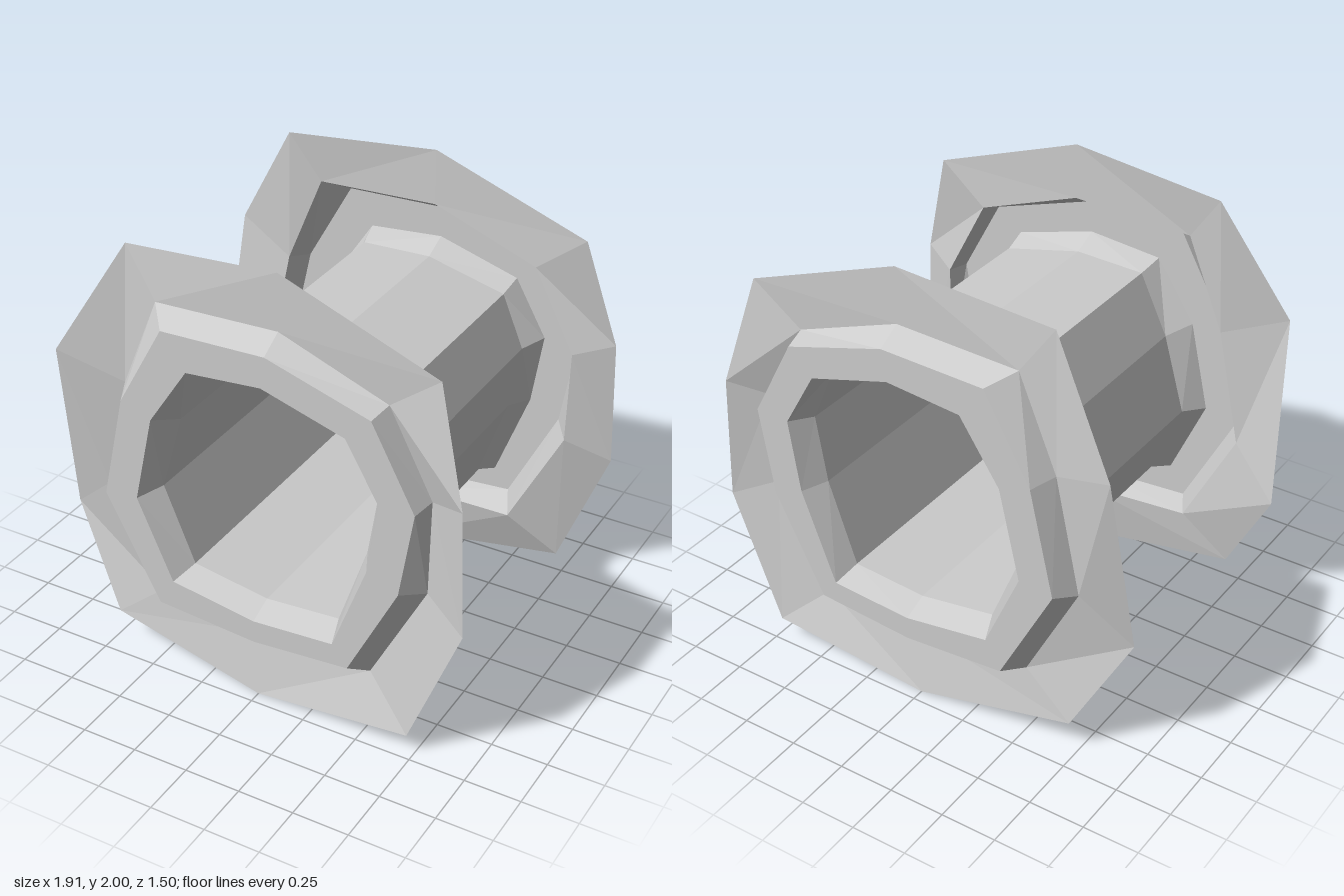
import * as THREE from 'three';

// Ten-sided irregular cross-sections, clockwise from the top as seen from the front
const BORE = [[0.08, 1.5], [0.44, 1.41], [0.54, 1.17], [0.49, 0.87], [0.36, 0.495],
  [0.02, 0.47], [-0.33, 0.525], [-0.47, 0.87], [-0.37, 1.22], [-0.24, 1.49]];
const MOUTH = [[0.08, 1.55], [0.45, 1.44], [0.595, 1.185], [0.545, 0.86], [0.39, 0.45],
  [0.02, 0.425], [-0.37, 0.485], [-0.53, 0.85], [-0.44, 1.25], [-0.26, 1.52]];
const HUB = [[0.1, 1.69], [0.56, 1.55], [0.75, 1.19], [0.685, 0.8], [0.46, 0.355],
  [0.02, 0.32], [-0.44, 0.355], [-0.685, 0.83], [-0.58, 1.3], [-0.37, 1.675]];
const HUB_BASE = [[0.1, 1.75], [0.58, 1.57], [0.77, 1.2], [0.76, 0.77], [0.51, 0.29],
  [0.02, 0.285], [-0.5, 0.33], [-0.74, 0.8], [-0.63, 1.32], [-0.46, 1.73]];
// The rim is bent, so each corner has its own depth
const RIM = [[0.1, 2, 0.645], [0.8, 1.74, 0.655], [0.935, 1.25, 0.725], [0.955, 0.68, 0.725], [0.725, 0.1, 0.73],
  [0, 0, 0.695], [-0.72, 0.15, 0.665], [-0.96, 0.6, 0.58], [-0.91, 1.43, 0.72], [-0.605, 1.94, 0.62]];

const material = new THREE.MeshStandardMaterial({
  color: 0xcccccc, flatShading: true, side: THREE.DoubleSide,
});

const atDepth = (ring, z) => ring.map(([x, y]) => [x, y, z]);

// Skin a list of rings with flat facets; mirrored skins the copy at -z
function skin(name, rings, mirrored = false) {
  const positions = [];
  const triangle = (a, b, c) => {
    const corners = mirrored ? [a, c, b] : [a, b, c];
    for (const [x, y, z] of corners) positions.push(x, y, mirrored ? -z : z);
  };
  for (let r = 0; r < rings.length - 1; r++) {
    const inner = rings[r], outer = rings[r + 1];
    inner.forEach((p, i) => {
      const j = (i + 1) % inner.length;
      triangle(p, inner[j], outer[j]);
      triangle(p, outer[j], outer[i]);
    });
  }
  const geometry = new THREE.BufferGeometry();
  geometry.setAttribute('position', new THREE.Float32BufferAttribute(positions, 3));
  geometry.computeVertexNormals();
  const mesh = new THREE.Mesh(geometry, material);
  mesh.name = name;
  return mesh;
}

export function createModel() {
  const model = new THREE.Group();
  model.name = 'spool';

  // Open thin-walled barrel
  model.add(skin('barrel', [atDepth(BORE, 0.64), atDepth(BORE, -0.64)]));

  // Each end: flared mouth, raised hub face, sloping hub side, then the bent rim
  for (const mirrored of [false, true]) {
    const end = new THREE.Group();
    end.name = mirrored ? 'backEnd' : 'frontEnd';
    const mouth = atDepth(MOUTH, 0.75), hub = atDepth(HUB, 0.75), base = atDepth(HUB_BASE, 0.645);
    end.add(
      skin('mouth', [atDepth(BORE, 0.64), mouth], mirrored),
      skin('hub', [mouth, hub, base], mirrored),
      skin('rim', [base, RIM], mirrored),
    );
    model.add(end);
  }
  return model;
}
